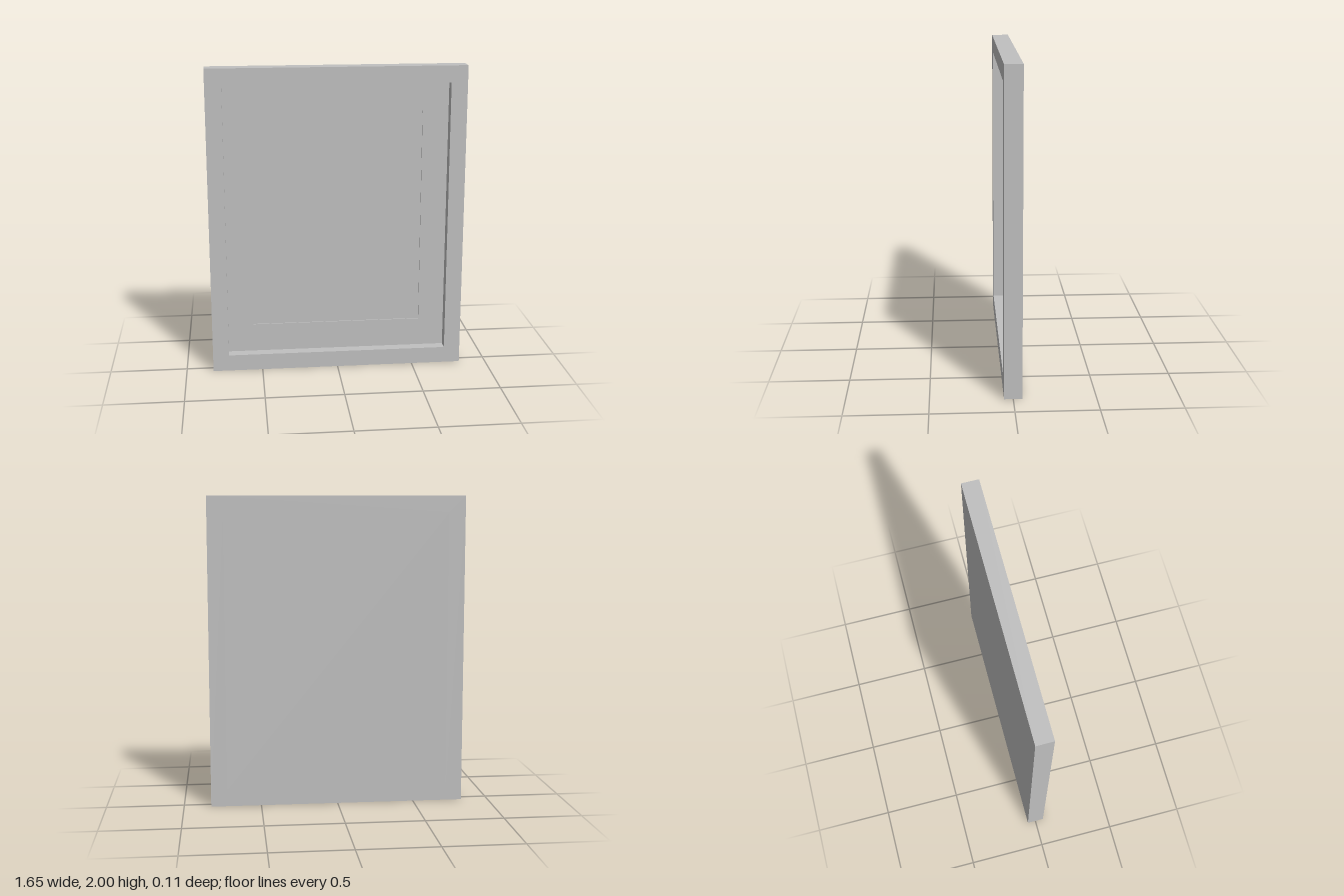
import * as THREE from 'three';

const W = 0.825, H = 1, D = 0.055;      // outer half sizes
const IW = 0.72, IH = 0.893;            // half sizes of the frame opening
const MW = 0.553, MH = 0.707;           // half sizes of the mat window
const MAT_Z = -0.015, PICTURE_Z = -0.023;

const grey = new THREE.MeshStandardMaterial({ color: 0xc0c0c0 });
grey.name = 'plain grey';

function part(name, geometry, x = 0, y = 0, z = 0) {
  const mesh = new THREE.Mesh(geometry, grey);
  mesh.name = name;
  mesh.position.set(x, y, z);
  return mesh;
}

function extrude(shape, depth) {
  return new THREE.ExtrudeGeometry(shape, { depth, bevelEnabled: false });
}

const polygon = (points) => new THREE.Shape(points.map(([x, y]) => new THREE.Vector2(x, y)));
const rectangle = (w, h) => [[-w, -h], [w, -h], [w, h], [-w, h]];

export function createModel() {
  const model = new THREE.Group();
  model.name = 'pictureFrame';

  // Four rails with mitred corners
  const frame = new THREE.Group();
  frame.name = 'frame';
  const outer = rectangle(W, H), inner = rectangle(IW, IH);
  ['bottomRail', 'leftRail', 'topRail', 'rightRail'].forEach((name, i) => {
    const j = (i + 1) % 4;
    const rail = polygon([outer[i], outer[j], inner[j], inner[i]]);
    frame.add(part(name, extrude(rail, 2 * D), 0, H, -D));
  });
  model.add(frame);

  // Mat board with a window, set back inside the frame
  const mat = polygon(rectangle(IW, IH));
  mat.holes.push(new THREE.Path(polygon(rectangle(MW, MH)).getPoints().reverse()));
  model.add(part('mat', extrude(mat, MAT_Z - PICTURE_Z), 0, H, PICTURE_Z));

  // Picture panel behind the mat, flush with the back of the rails
  const depth = PICTURE_Z + D;
  model.add(part('picturePanel', new THREE.BoxGeometry(2 * IW, 2 * IH, depth), 0, H, -D + depth / 2));

  return model;
}
